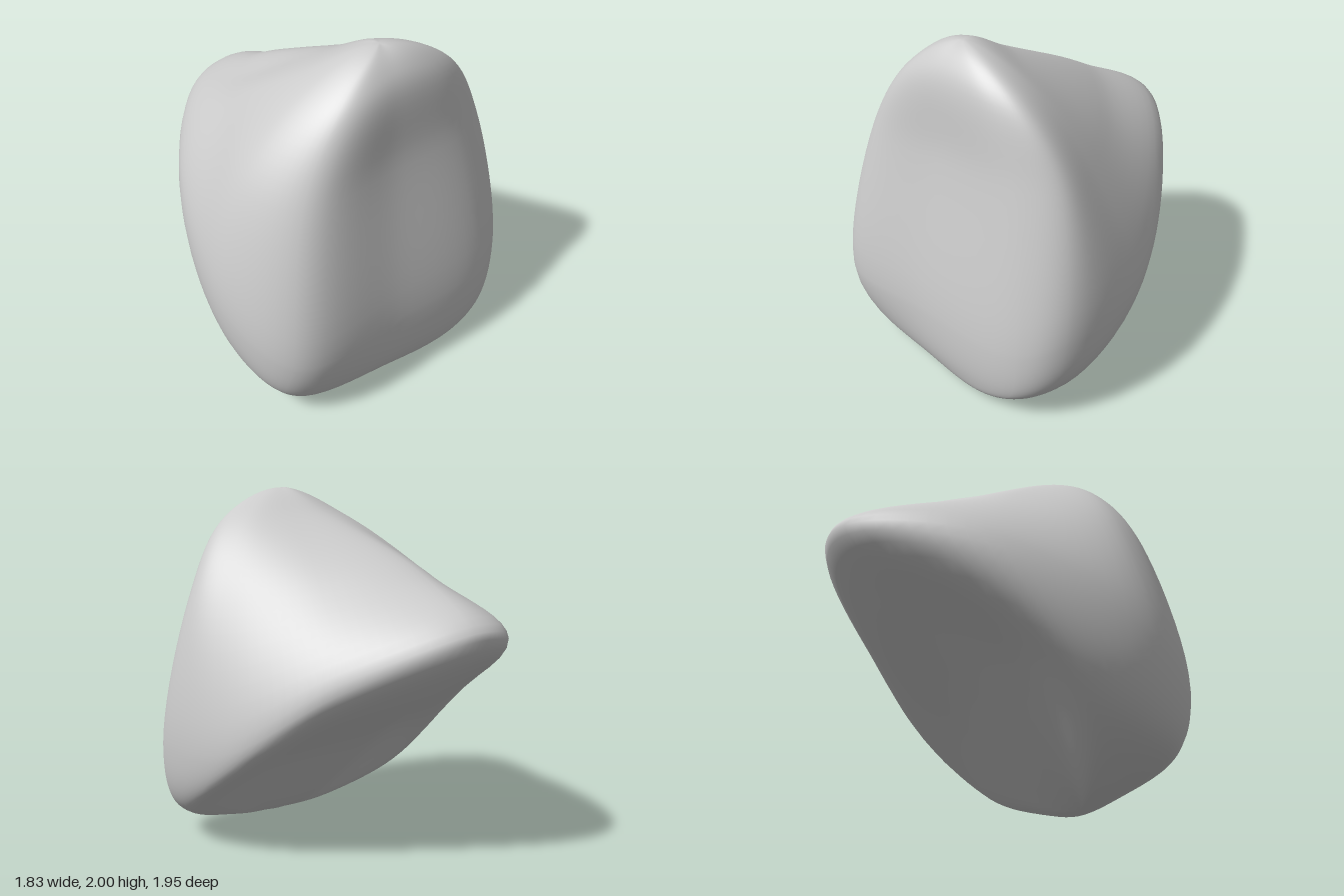
import * as THREE from 'three';
import { mergeVertices } from 'three/addons/utils/BufferGeometryUtils.js';

// Guide lines from the underside to the peak: [foot, lower, rim, upper, crown]
const GUIDES = {
  frontCorner: [[-0.12, 0.03, 0.64], [-0.4, 0.15, 0.87], [-0.36, 0.46, 0.97], [-0.27, 1.38, 0.79], [-0.06, 1.83, 0.6]],
  leftFront: [[-0.22, 0.05, 0.56], [-0.63, 0.23, 0.66], [-0.74, 0.68, 0.7], [-0.6, 1.39, 0.57], [-0.22, 1.83, 0.47]],
  left: [[-0.2, 0.06, 0.46], [-0.7, 0.35, 0.36], [-0.91, 1.08, -0.05], [-0.6, 1.52, 0.04], [-0.24, 1.84, 0.3]],
  leftBack: [[-0.05, 0.08, 0.38], [-0.5, 0.6, 0.04], [-0.74, 1.23, -0.82], [-0.55, 1.51, -0.29], [-0.17, 1.84, 0.14]],
  backTip: [[0.08, 0.07, 0.33], [-0.2, 0.55, -0.16], [-0.44, 1.24, -0.98], [-0.39, 1.54, -0.51], [-0.06, 1.84, 0.05]],
  backRight: [[0.3, 0.06, 0.3], [0.28, 0.48, -0.19], [0.18, 0.98, -0.79], [0.15, 1.47, -0.42], [0.15, 1.84, 0.05]],
  rightBack: [[0.48, 0.06, 0.25], [0.74, 0.22, -0.06], [0.67, 0.63, -0.43], [0.57, 1.42, -0.17], [0.39, 1.83, 0.1]],
  right: [[0.56, 0.05, 0.36], [0.84, 0.21, 0.12], [0.91, 0.6, 0.04], [0.75, 1.4, 0.04], [0.52, 1.82, 0.2]],
  rightFront: [[0.51, 0.04, 0.45], [0.77, 0.17, 0.34], [0.82, 0.5, 0.32], [0.64, 1.4, 0.27], [0.43, 1.85, 0.34]],
  frontMiddle: [[0.2, 0.02, 0.58], [0.19, 0.13, 0.67], [0.22, 0.48, 0.7], [0.2, 1.4, 0.55], [0.2, 1.87, 0.49]],
};
const FOOT = new THREE.Vector3(0.2, 0, 0.45);
const PEAK = new THREE.Vector3(0.13, 2, 0.36);
const AROUND = 90, UP = 56;

// Curves over both poles, carried on to the opposite guide so the ends are domed
function guideCurves() {
  const lines = Object.values(GUIDES).map(l => l.map(p => new THREE.Vector3(...p)));
  return lines.map((line, i) => {
    const opposite = lines[(i + lines.length / 2) % lines.length];
    return new THREE.CatmullRomCurve3([opposite[0], FOOT, ...line, PEAK, opposite[4]]);
  });
}

// Closed rings threaded through the guides, joined into one skin
function stoneGeometry() {
  const curves = guideCurves();
  const positions = [], index = [];
  for (let j = 0; j <= UP; j++) {
    const t = (1 + 6 * j / UP) / 8;
    const pole = j === 0 ? FOOT : j === UP ? PEAK : null;
    const ring = pole ? null : new THREE.CatmullRomCurve3(curves.map(c => c.getPoint(t)), true);
    for (let i = 0; i < AROUND; i++) {
      const p = pole || ring.getPoint(i / AROUND);
      positions.push(p.x, p.y, p.z);
    }
  }
  for (let j = 0; j < UP; j++) {
    for (let i = 0; i < AROUND; i++) {
      const a = j * AROUND + i, b = j * AROUND + (i + 1) % AROUND;
      if (j > 0) index.push(b, a, a + AROUND);
      if (j < UP - 1) index.push(b, a + AROUND, b + AROUND);
    }
  }
  const geometry = new THREE.BufferGeometry();
  geometry.setAttribute('position', new THREE.Float32BufferAttribute(positions, 3));
  geometry.setIndex(index);
  const skin = mergeVertices(geometry, 1e-5);
  skin.computeVertexNormals();
  return skin;
}

export function createModel() {
  const group = new THREE.Group();
  group.name = 'rock';
  const stone = new THREE.Mesh(stoneGeometry(), new THREE.MeshStandardMaterial({ color: 0xcccccc }));
  stone.name = 'stone';
  group.add(stone);
  return group;
}
